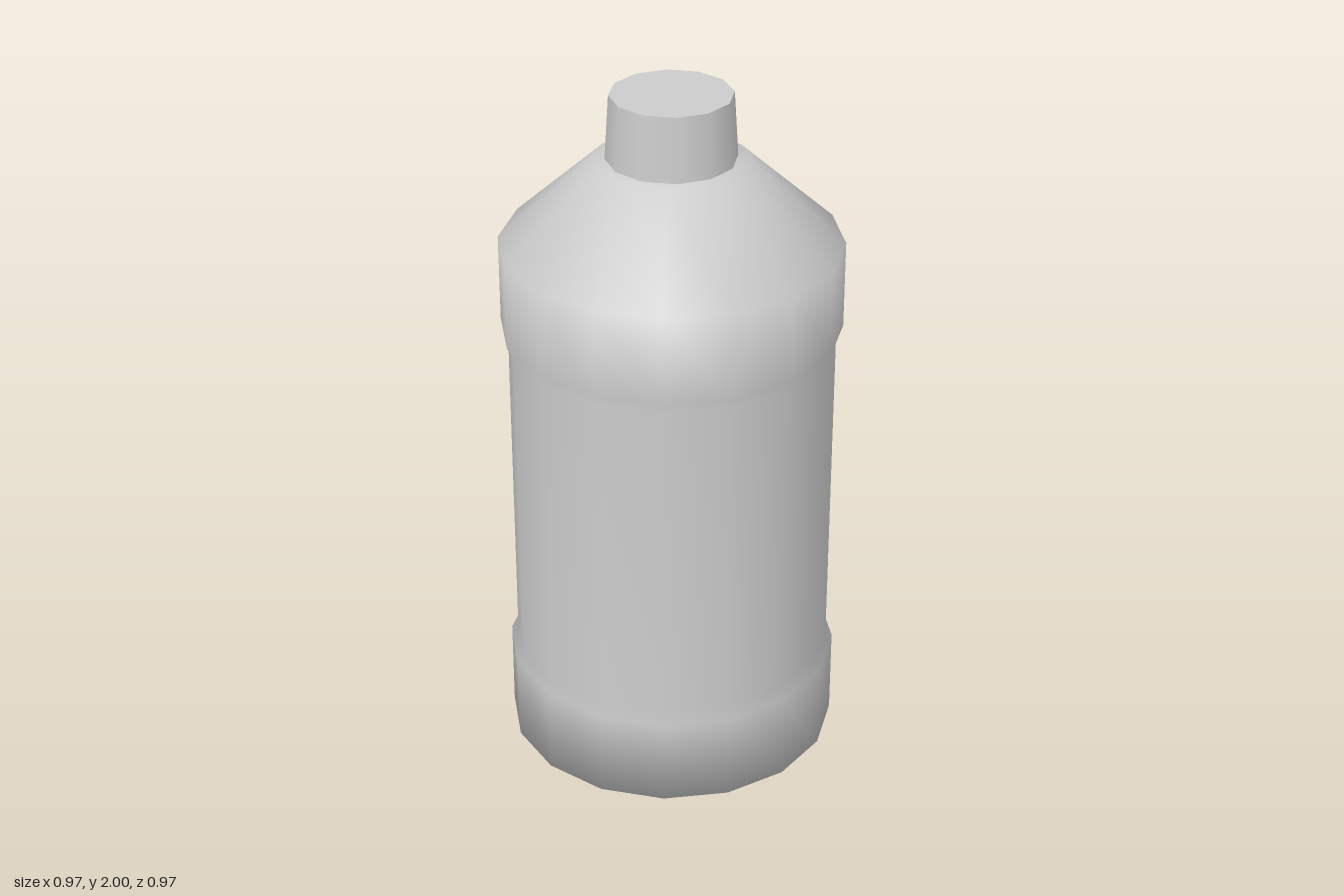
import * as THREE from 'three';

export function createModel() {
  const group = new THREE.Group();
  const material = new THREE.MeshStandardMaterial({ color: 0xcccccc });

  // Bottle body: 16-sided, with a recessed middle band and sloping shoulder
  const profile = [
    [0, 0], [0.483, 0], [0.483, 0.26], [0.464, 0.295], [0.464, 1.275],
    [0.483, 1.31], [0.483, 1.565], [0.21, 1.815], [0, 1.815],
  ].map(([r, y]) => new THREE.Vector2(r, y));
  const body = new THREE.Mesh(new THREE.LatheGeometry(profile, 16), material);
  body.name = 'bottleBody';
  group.add(body);

  // Tapered 12-sided cap seated on the shoulder
  const cap = new THREE.Mesh(new THREE.CylinderGeometry(0.171, 0.183, 0.19, 12), material);
  cap.name = 'cap';
  cap.position.y = 1.905;
  group.add(cap);

  return group;
}
